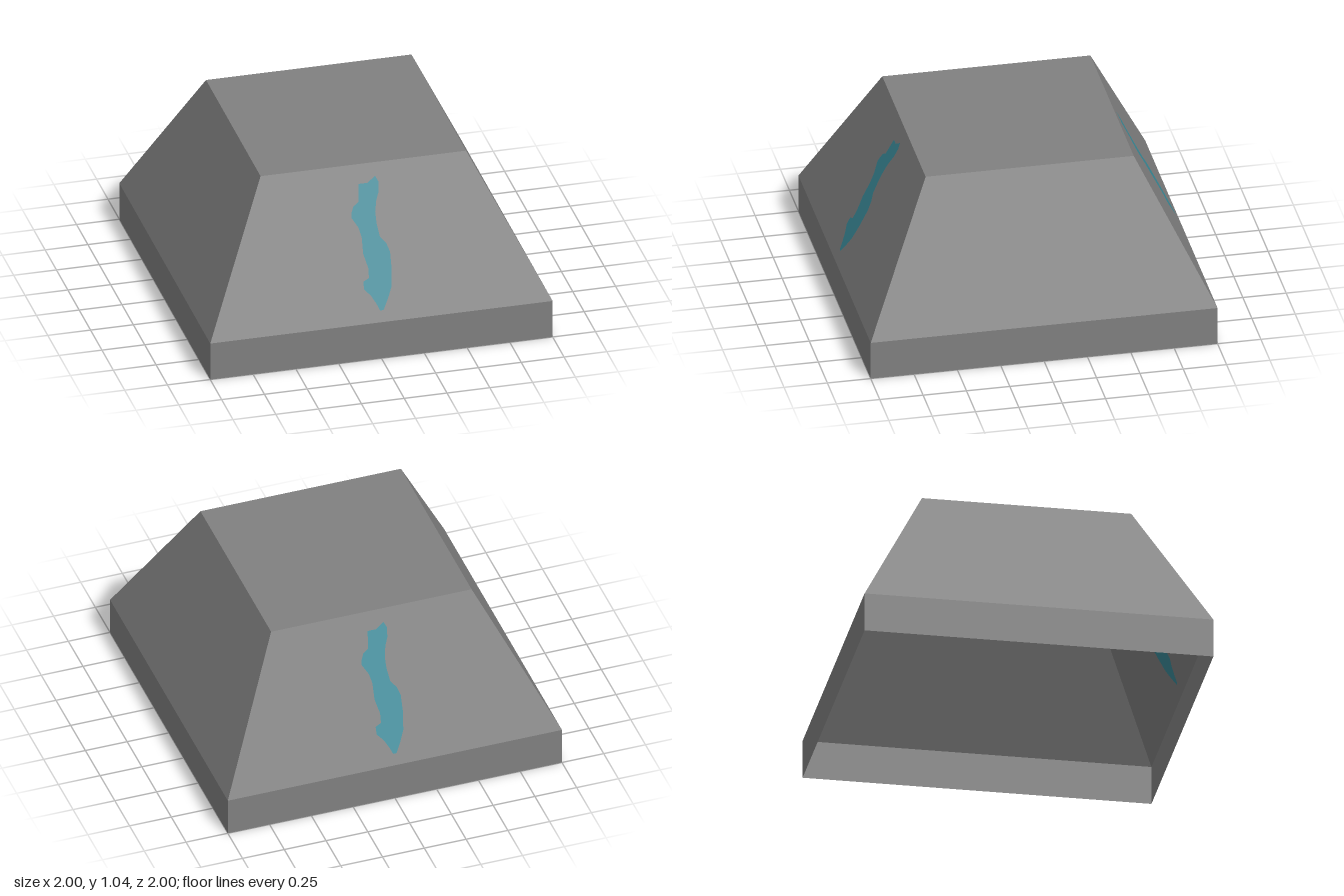
import * as THREE from 'three';

const BASE = 0.23, TOP = 1.04, HALF = 1, HALF_TOP = 0.6;

// Outline of the painted streak, clockwise from its top right, as x and height
const STREAK = [
  [0.06, 0.97], [0.075, 0.94], [0.07, 0.89], [0.05, 0.845], [0.037, 0.79], [0.037, 0.73],
  [0.048, 0.66], [0.08, 0.625], [0.096, 0.58], [0.094, 0.49], [0.08, 0.4], [0.053, 0.345],
  [0.02, 0.29], [0.0, 0.29], [-0.016, 0.325], [-0.043, 0.37], [-0.078, 0.405], [-0.078, 0.445],
  [-0.043, 0.46], [-0.04, 0.51], [-0.06, 0.585], [-0.058, 0.67], [-0.07, 0.72], [-0.105, 0.775],
  [-0.1, 0.8], [-0.085, 0.83], [-0.052, 0.85], [-0.04, 0.94], [0.01, 0.94],
].map(([x, y]) => new THREE.Vector2(x, y));

// Flat shape leaned back onto the slope of the front wall
function slopeGeometry(shape) {
  const geometry = new THREE.ShapeGeometry(shape);
  const p = geometry.attributes.position;
  for (let i = 0; i < p.count; i++) {
    p.setZ(i, HALF - (HALF - HALF_TOP) * (p.getY(i) - BASE) / (TOP - BASE));
  }
  geometry.computeVertexNormals();
  return geometry;
}

function slopeShape(hasStreak) {
  const shape = new THREE.Shape([
    new THREE.Vector2(-HALF, BASE), new THREE.Vector2(HALF, BASE),
    new THREE.Vector2(HALF_TOP, TOP), new THREE.Vector2(-HALF_TOP, TOP),
  ]);
  if (hasStreak) shape.holes.push(new THREE.Path(STREAK));
  return shape;
}

export function createModel() {
  const stone = new THREE.MeshStandardMaterial({ color: 0x808080, side: THREE.DoubleSide });
  stone.name = 'grey stone';
  const teal = new THREE.MeshStandardMaterial({ color: 0x3a8a98, side: THREE.DoubleSide });
  teal.name = 'teal streak';

  const model = new THREE.Group();
  model.name = 'pedestal';

  const add = (parent, name, geometry, material) => {
    const mesh = new THREE.Mesh(geometry, material);
    mesh.name = name;
    parent.add(mesh);
    return mesh;
  };

  // Four walls, open below; the front and back carry the streak
  ['front', 'right', 'back', 'left'].forEach((side, i) => {
    const wall = new THREE.Group();
    wall.name = side + 'Wall';
    wall.rotation.y = i * Math.PI / 2;
    const hasStreak = i % 2 === 0;

    const skirt = new THREE.PlaneGeometry(2 * HALF, BASE).translate(0, BASE / 2, HALF);
    add(wall, side + 'Skirt', skirt, stone);
    add(wall, side + 'Slope', slopeGeometry(slopeShape(hasStreak)), stone);
    if (hasStreak) add(wall, side + 'Streak', slopeGeometry(new THREE.Shape(STREAK)), teal);
    model.add(wall);
  });

  // Flat top
  const top = new THREE.PlaneGeometry(2 * HALF_TOP, 2 * HALF_TOP).rotateX(-Math.PI / 2).translate(0, TOP, 0);
  add(model, 'topPlate', top, stone);

  return model;
}
